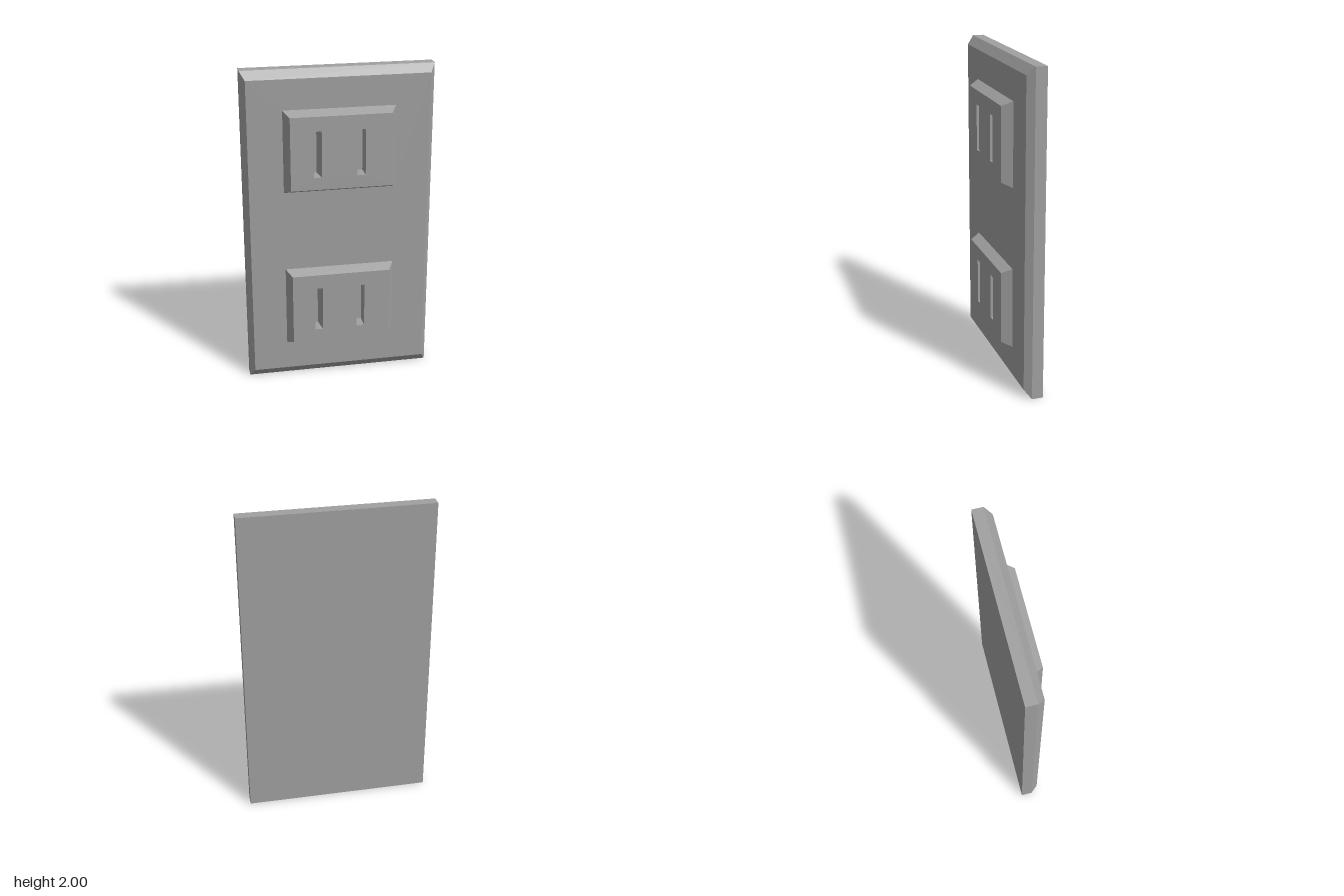
import * as THREE from 'three';

// A rectangle cross-section: x range, y range, depth z
const rect = (x0, x1, y0, y1, z) => ({ x0, x1, y0, y1, z });
const corners = ({ x0, x1, y0, y1, z }) => [[x0, y0, z], [x1, y0, z], [x1, y1, z], [x0, y1, z]];

// Flat-sided walls joining successive rectangles.
// Going toward +z the walls face outward, going toward -z they face inward.
function walls(sections) {
  const pos = [];
  for (let s = 0; s < sections.length - 1; s++) {
    const a = corners(sections[s]), b = corners(sections[s + 1]);
    for (let i = 0; i < 4; i++) {
      const j = (i + 1) % 4;
      pos.push(...a[i], ...a[j], ...b[j], ...a[i], ...b[j], ...b[i]);
    }
  }
  const geo = new THREE.BufferGeometry();
  geo.setAttribute('position', new THREE.Float32BufferAttribute(pos, 3));
  geo.computeVertexNormals();
  return geo;
}

// Flat face filling a rectangle, facing +z, with rectangular holes
function face(r, holes = []) {
  const outline = (q, Type) => new Type(corners(q).map(([x, y]) => new THREE.Vector2(x, y)));
  const shape = outline(r, THREE.Shape);
  shape.holes = holes.map((h) => outline(h, THREE.Path));
  return new THREE.ShapeGeometry(shape).translate(0, 0, r.z);
}

export function createModel() {
  const model = new THREE.Group();
  model.name = 'wallOutlet';
  const grey = new THREE.MeshStandardMaterial({ color: 0xa0a0a0 });
  grey.name = 'grey plastic';
  const add = (parent, name, geo) => {
    const mesh = new THREE.Mesh(geo, grey);
    mesh.name = name;
    parent.add(mesh);
    return mesh;
  };

  const BACK = -0.087, EDGE = -0.018, FRONT = 0.025, TOP = 0.087, FLOOR = -0.013;
  const centres = [1.51, 0.495];
  const socketBase = (y) => rect(-0.34, 0.34, y - 0.255, y + 0.255, FRONT);

  // Bevelled wall plate, open under the sockets so the slots can sink in
  const plate = new THREE.Group();
  plate.name = 'wallPlate';
  model.add(plate);
  const rim = rect(-0.58, 0.58, 0, 2, BACK);
  const front = rect(-0.55, 0.55, 0.055, 1.95, FRONT);
  add(plate, 'plateSides', walls([rim, { ...rim, z: EDGE }, front]));
  add(plate, 'plateFront', face(front, centres.map(socketBase)));
  const back = face({ ...rim, y0: -1, y1: 1, z: 0 }).rotateY(Math.PI).translate(0, 1, BACK);
  add(plate, 'plateBack', back);

  // Raised sockets with two tapering slots each
  centres.forEach((y, i) => {
    const socket = new THREE.Group();
    socket.name = i === 0 ? 'upperSocket' : 'lowerSocket';
    model.add(socket);
    const top = rect(-0.305, 0.305, y - 0.227, y + 0.225, TOP);
    const y0 = y - 0.15, y1 = y + 0.135;
    const slots = [
      ['rightSlot', rect(-0.167, -0.118, y0, y1, TOP), rect(-0.167, -0.134, y0, y1, FLOOR)],
      ['leftSlot', rect(0.098, 0.147, y0, y1, TOP), rect(0.112, 0.147, y0, y1, FLOOR)],
    ];
    add(socket, 'socketSides', walls([socketBase(y), top]));
    add(socket, 'socketFace', face(top, slots.map((s) => s[1])));
    for (const [name, mouth, floor] of slots) {
      add(socket, name + 'Walls', walls([mouth, floor]));
      add(socket, name + 'Floor', face(floor));
    }
  });

  return model;
}
